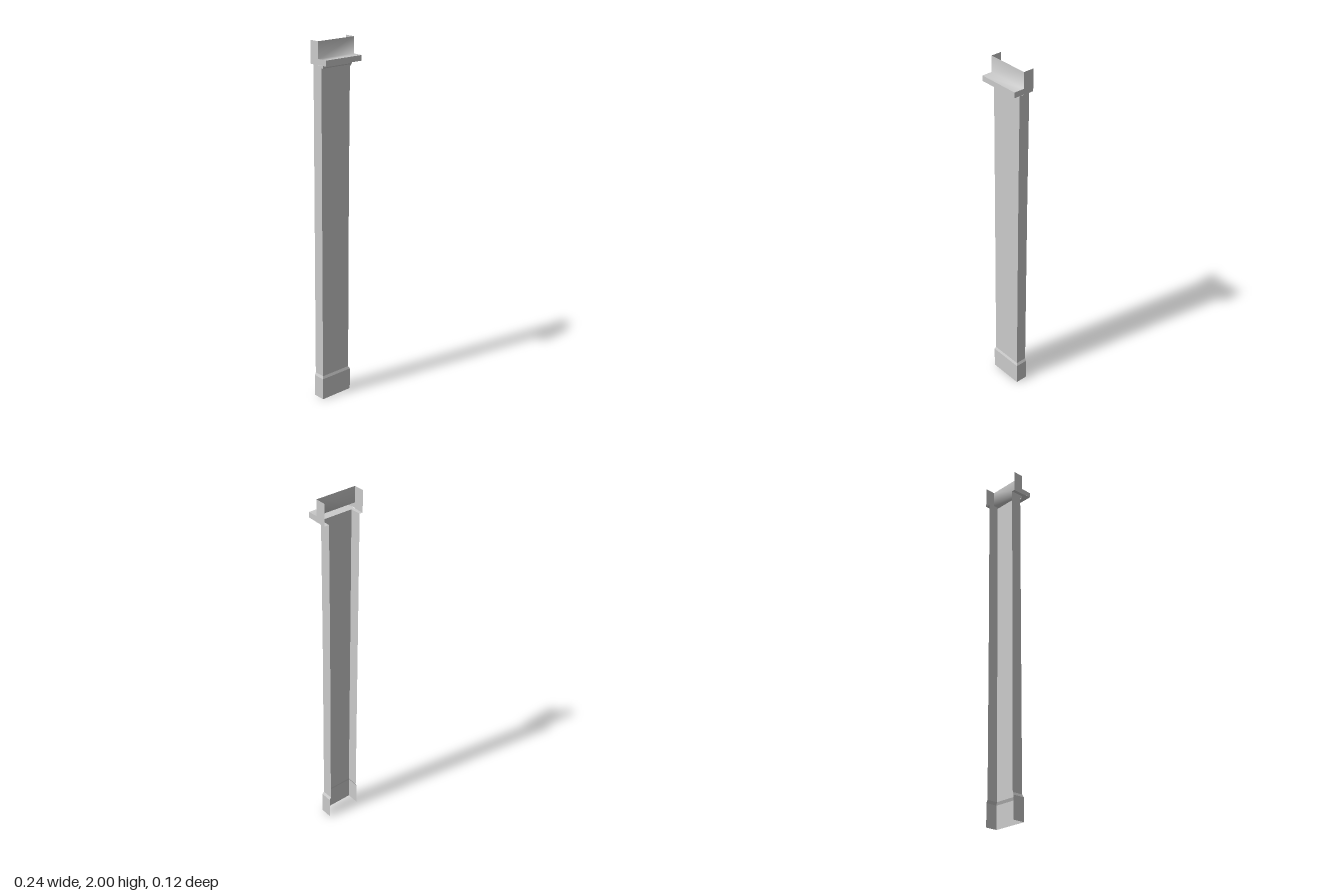
import * as THREE from 'three';

const BACK = -0.06;

// Surface through rows of [x, y, z] points: rows run downward, columns to the right.
function sheet(name, rows, smooth = false) {
  const n = rows[0].length;
  const index = [];
  for (let i = 0; i < rows.length - 1; i++) {
    for (let j = 0; j < n - 1; j++) {
      const a = i * n + j, c = a + n;
      index.push(a, c, a + 1, a + 1, c, c + 1);
    }
  }
  let geometry = new THREE.BufferGeometry();
  geometry.setAttribute('position', new THREE.Float32BufferAttribute(rows.flat(2), 3));
  geometry.setIndex(index);
  if (!smooth) geometry = geometry.toNonIndexed();
  geometry.computeVertexNormals();
  const material = new THREE.MeshStandardMaterial({ color: 0xcccccc, side: THREE.DoubleSide });
  const mesh = new THREE.Mesh(geometry, material);
  mesh.name = name;
  return mesh;
}

// Profile of [y, z] points stretched from x0 to x1.
const moulding = (name, x0, x1, profile, smooth) =>
  sheet(name, profile.map(([y, z]) => [[x0, y, z], [x1, y, z]]), smooth);

// Upright end plate facing left (-1) or right (+1).
function endPlate(name, side, x, yTop, yBottom, zBack, zFront) {
  const zs = side < 0 ? [zBack, zFront] : [zFront, zBack];
  return sheet(name, [yTop, yBottom].map(y => zs.map(z => [x, y, z])));
}

export function createModel() {
  const group = new THREE.Group();
  group.name = 'pilaster';

  // Open-backed channel: shaft with a slightly wider base
  const levels = [
    // y, left, right, front
    [1.88, -0.1, 0.091, 0.002],
    [1.2, -0.1, 0.087, 0.002],
    [0.14, -0.1, 0.086, 0.003],
    [0.125, -0.106, 0.094, 0.009],
    [0, -0.106, 0.094, 0.009],
  ];
  const channel = levels.map(([y, l, r, f]) => [[l, y, BACK], [l, y, f], [r, y, f], [r, y, BACK]]);
  group.add(sheet('shaft', channel.slice(0, 3)));
  group.add(sheet('base', channel.slice(2)));

  // Small stepped moulding at the neck
  group.add(moulding('neckMoulding', -0.1, 0.091,
    [[1.88, 0.016], [1.868, 0.016], [1.862, 0.009], [1.855, 0.009], [1.855, 0.002]], false));

  // Capital front with its hollow projecting ledge
  const W = 0.119;
  group.add(moulding('capitalFront', -W, W, [[2, 0], [1.912, 0], [1.912, 0.059]], true));
  group.add(moulding('ledge', -W, W, [[1.912, 0.059], [1.883, 0.059], [1.88, 0.002]], false));

  for (const side of [-1, 1]) {
    group.add(endPlate('capitalSide', side, side * W, 2, 1.88, BACK, 0));
    group.add(endPlate('ledgeEnd', side, side * W, 1.912, 1.882, 0, 0.059));
    group.add(endPlate('neckEnd', side, side < 0 ? -0.1 : 0.091, 1.88, 1.862, 0.002, 0.016));
    // Underside between the capital and the shaft
    const [x0, x1] = side < 0 ? [-W, -0.1] : [0.091, W];
    group.add(moulding('capitalUnderside', x0, x1, [[1.88, 0.002], [1.88, BACK]], false));
  }
  return group;
}
